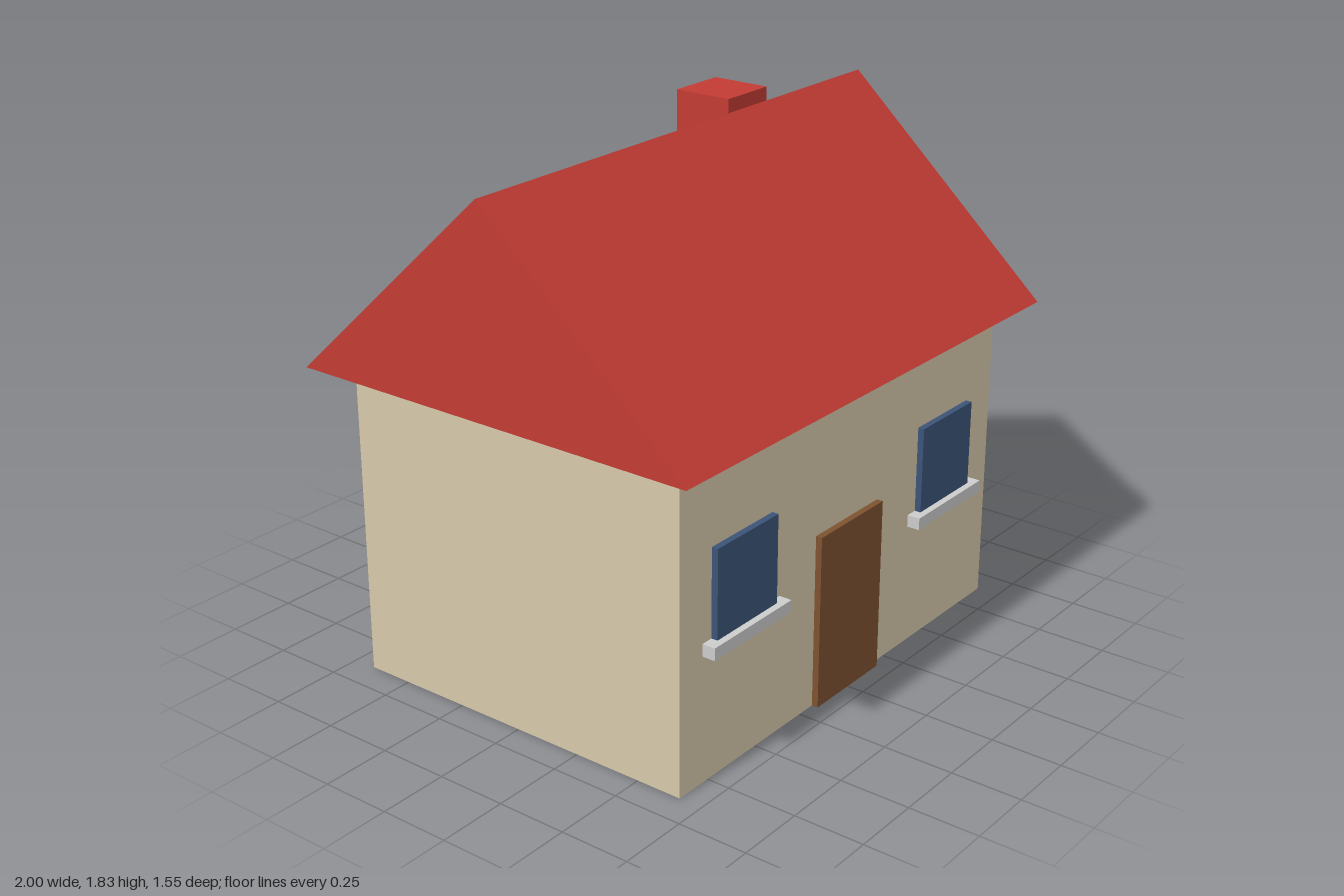
import * as THREE from 'three';

const material = (color) => new THREE.MeshStandardMaterial({ color, flatShading: true });

const MATERIALS = {
  wall: material(0xd6c9ab),
  roof: material(0xc23b33),
  door: material(0x7d5230),
  glass: material(0x3b5478),
  sill: material(0xd8d8d4),
};

// Box given by its [min, max] extent on each axis
function box(name, mat, [x0, x1], [y0, y1], [z0, z1]) {
  const mesh = new THREE.Mesh(new THREE.BoxGeometry(x1 - x0, y1 - y0, z1 - z0), mat);
  mesh.position.set((x0 + x1) / 2, (y0 + y1) / 2, (z0 + z1) / 2);
  mesh.name = name;
  return mesh;
}

// Gabled roof: a triangle in the z-y plane, extruded along x
function gableRoof(halfLength, halfDepth, eaves, ridge) {
  const gable = new THREE.Shape([
    new THREE.Vector2(-halfDepth, eaves),
    new THREE.Vector2(halfDepth, eaves),
    new THREE.Vector2(0, ridge),
  ]);
  const geometry = new THREE.ExtrudeGeometry(gable, { depth: 2 * halfLength, bevelEnabled: false });
  geometry.translate(0, 0, -halfLength);
  geometry.rotateY(Math.PI / 2);
  const mesh = new THREE.Mesh(geometry, MATERIALS.roof);
  mesh.name = 'roof';
  return mesh;
}

// Window pane with a projecting sill, centred on x = 0
function houseWindow(name, x) {
  const group = new THREE.Group();
  group.name = name;
  group.add(
    box('pane', MATERIALS.glass, [-0.155, 0.155], [0.49, 0.80], [0.645, 0.689]),
    box('sill', MATERIALS.sill, [-0.2, 0.2], [0.447, 0.49], [0.62, 0.713]),
  );
  group.position.x = x;
  return group;
}

export function createModel() {
  const house = new THREE.Group();
  house.name = 'house';
  house.add(
    box('walls', MATERIALS.wall, [-0.89, 0.89], [0, 1.113], [-0.666, 0.666]),
    gableRoof(1, 0.777, 1.113, 1.825),
    box('chimney', MATERIALS.roof, [0.375, 0.597], [1.38, 1.825], [-0.334, -0.112]),
    box('door', MATERIALS.door, [-0.178, 0.178], [0, 0.623], [0.645, 0.689]),
    houseWindow('leftWindow', 0.577),
    houseWindow('rightWindow', -0.577),
  );
  return house;
}
